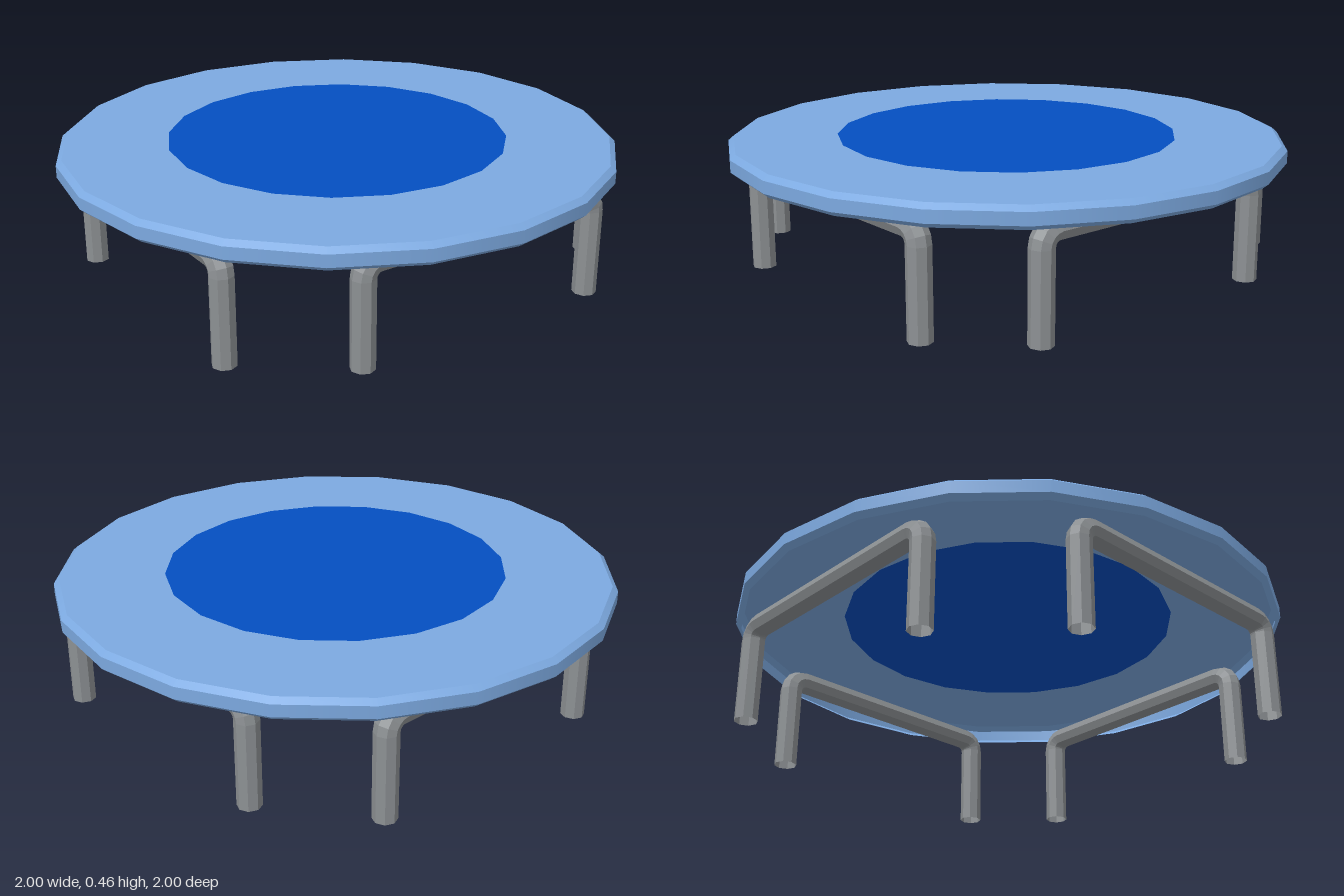
import * as THREE from 'three';

const pad = new THREE.MeshStandardMaterial({ color: 0x7ca9e0, side: THREE.DoubleSide });
pad.name = 'light blue pad';
const mat = new THREE.MeshStandardMaterial({ color: 0x044ec0, side: THREE.DoubleSide });
mat.name = 'deep blue mat';
const steel = new THREE.MeshStandardMaterial({ color: 0x8c9093, flatShading: true, side: THREE.DoubleSide });
steel.name = 'grey steel';

// One band of the 20-sided disc, from [radius, y] to [radius, y]
function band(name, material, from, to) {
  const points = [from, to].map(([r, y]) => new THREE.Vector2(r, y));
  const mesh = new THREE.Mesh(new THREE.LatheGeometry(points, 20), material);
  mesh.name = name;
  return mesh;
}

// Open octagonal tube bent into an upside-down U, swept ring by ring
function legGeometry(half, barY, bend, radius) {
  const sides = 8, steps = 4;
  const rings = [[-half, 0, Math.PI]];
  for (const s of [-1, 1]) {
    for (let k = 0; k <= steps; k++) {
      const q = (k / steps) * Math.PI / 2;
      const t = s < 0 ? Math.PI - q : Math.PI / 2 - q;
      rings.push([s * (half - bend) + bend * Math.cos(t), barY - bend + bend * Math.sin(t), t]);
    }
  }
  rings.push([half, 0, 0]);

  const positions = [], index = [];
  for (const [x, y, t] of rings) {
    for (let j = 0; j < sides; j++) {
      const a = (j / sides) * Math.PI * 2;
      const n = radius * Math.cos(a);
      positions.push(x + n * Math.cos(t), y + n * Math.sin(t), radius * Math.sin(a));
    }
  }
  for (let i = 0; i < rings.length - 1; i++) {
    for (let j = 0; j < sides; j++) {
      const a = i * sides + j, b = i * sides + (j + 1) % sides;
      index.push(a, b, b + sides, a, b + sides, a + sides);
    }
  }
  const geometry = new THREE.BufferGeometry();
  geometry.setAttribute('position', new THREE.Float32BufferAttribute(positions, 3));
  geometry.setIndex(index);
  const flat = geometry.toNonIndexed();
  flat.computeVertexNormals();
  return flat;
}

export function createModel() {
  const model = new THREE.Group();
  model.name = 'trampoline';

  // Jumping disc: a thin sheet with a bevelled rim, open underneath
  const bottom = 0.38, top = 0.457, inner = 0.61, edge = 0.98, bevel = 0.017;
  const disc = new THREE.Group();
  disc.name = 'disc';
  disc.add(
    band('lowerBevel', pad, [edge, bottom], [1, bottom + bevel]),
    band('rim', pad, [1, bottom + bevel], [1, top - bevel]),
    band('upperBevel', pad, [1, top - bevel], [edge, top]),
    band('padRing', pad, [edge, top], [inner, top]),
    band('mat', mat, [inner, top], [0, top]),
  );
  model.add(disc);

  // Four U-shaped leg frames, set slightly off centre along each side
  const geometry = legGeometry(0.473, 0.36, 0.05, 0.042);
  const frames = [
    ['frontLegs', 0.041, 0.774, 0],
    ['backLegs', 0.041, -0.774, 0],
    ['leftLegs', 0.774, 0.041, Math.PI / 2],
    ['rightLegs', -0.774, 0.041, Math.PI / 2],
  ];
  for (const [name, x, z, turn] of frames) {
    const legs = new THREE.Mesh(geometry, steel);
    legs.name = name;
    legs.position.set(x, 0, z);
    legs.rotation.y = turn;
    model.add(legs);
  }
  return model;
}
